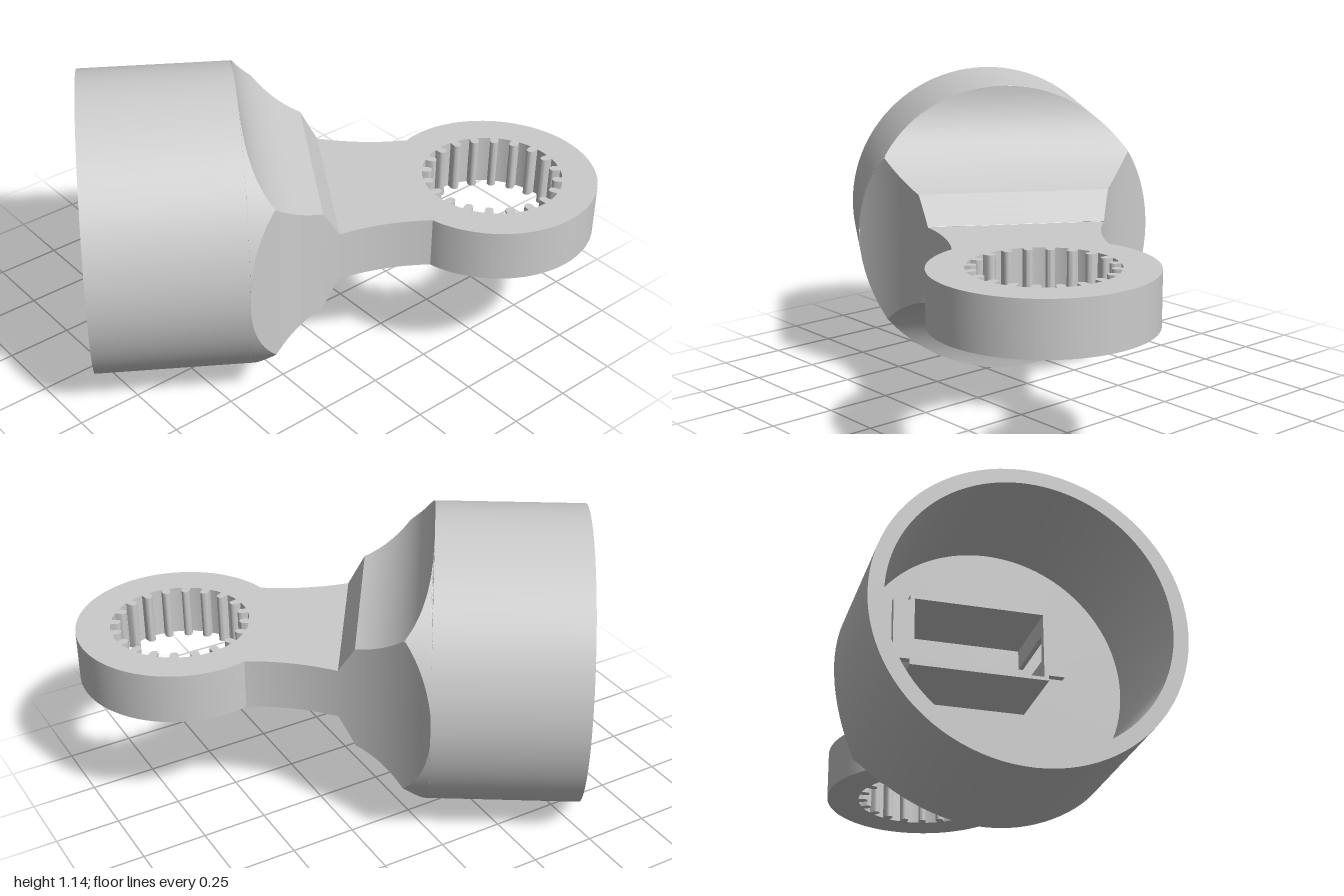
import * as THREE from 'three';
import { toCreasedNormals } from 'three/addons/utils/BufferGeometryUtils.js';

// Working frame: x across, y up, z = -u, where u runs from the cup mouth to the ring.
const R = 0.569, CUP_END = 0.568, NECK_END = 0.909, RING_U = 1.536;
const material = new THREE.MeshStandardMaterial({ color: 0xcccccc });

function addMesh(parent, name, geometry, crease = 0.5) {
  const mesh = new THREE.Mesh(toCreasedNormals(geometry, crease), material);
  mesh.name = name;
  parent.add(mesh);
}

// half width of the neck: concave arc seen from above
const halfWidth = u => Math.min(R, 1.124 - Math.sqrt(0.847 ** 2 - (1.2055 - u) ** 2));

// Cross-section of the neck: a disc trimmed by the side and top cuts
function section(u, H) {
  const W = u <= CUP_END ? R : halfWidth(u);
  const hs = Math.min(H, Math.sqrt(Math.max(0, R * R - W * W)));
  const vt = Math.min(W, Math.sqrt(Math.max(0, R * R - H * H)));
  const a0 = Math.atan2(hs, W), a1 = Math.atan2(H, vt), n = 20;
  const quarter = [];
  for (let i = 0; i <= n; i++) {
    const a = a0 + (a1 - a0) * i / n;
    const r = Math.min(R, W / Math.cos(a), H / Math.max(1e-6, Math.sin(a)));
    quarter.push([r * Math.cos(a), r * Math.sin(a)]);
  }
  const back = [...quarter].reverse();
  return [
    ...quarter,
    ...back.map(([x, y]) => [-x, y]),
    ...quarter.map(([x, y]) => [-x, -y]),
    ...back.map(([x, y]) => [x, -y]),
  ].map(([x, y]) => new THREE.Vector3(x, y, -u));
}

function neckGeometry() {
  const sections = [], n = 40, r = 0.373, cu = CUP_END + r;
  const tEnd = Math.acos((cu - 0.845) / r);
  for (let i = 0; i <= n; i++) {
    const t = tEnd * i / n;
    sections.push(section(cu - r * Math.cos(t), R - r * Math.sin(t)));
  }
  for (let i = 1; i <= 4; i++) {
    const k = i / 4;
    sections.push(section(0.845 + (NECK_END - 0.845) * k, (R - r * Math.sin(tEnd)) * (1 - k) + 0.1 * k));
  }
  const pos = [], cross = new THREE.Vector3(), e = new THREE.Vector3();
  const tri = (a, b, c) => {
    cross.subVectors(b, a).cross(e.subVectors(c, a));
    if (cross.length() > 1e-9) for (const p of [a, b, c]) pos.push(p.x, p.y, p.z);
  };
  for (let s = 0; s < sections.length - 1; s++) {
    const A = sections[s], B = sections[s + 1];
    for (let j = 0; j < A.length; j++) {
      const k = (j + 1) % A.length;
      tri(A[j], B[j], B[k]);
      tri(A[j], B[k], A[k]);
    }
  }
  const g = new THREE.BufferGeometry();
  g.setAttribute('position', new THREE.Float32BufferAttribute(pos, 3));
  return g;
}

// Flat arm ending in a ring with a toothed hole
function armGeometry() {
  const side = [], pts = [], joinU = 1.257;
  for (let i = 0; i <= 16; i++) {
    const u = NECK_END + (joinU - NECK_END) * i / 16;
    side.push([halfWidth(u), u]);
  }
  side.forEach(([v, u]) => pts.push(new THREE.Vector2(v, u)));
  for (let i = 1; i < 72; i++) {
    const a = -Math.PI / 4 + (Math.PI * 1.5) * i / 72;
    pts.push(new THREE.Vector2(0.396 * Math.cos(a), RING_U + 0.396 * Math.sin(a)));
  }
  side.reverse().forEach(([v, u]) => pts.push(new THREE.Vector2(-v, u)));
  const shape = new THREE.Shape(pts);

  const hole = [], teeth = 20, w = 0.016;
  const polar = (a, r, t) => hole.push(new THREE.Vector2(
    r * Math.cos(a) - t * Math.sin(a), RING_U + r * Math.sin(a) + t * Math.cos(a)));
  for (let i = 0; i < teeth; i++) {
    const a = (i + 0.1) / teeth * Math.PI * 2 - 0.6;
    polar(a, 0.264, -w);
    for (let k = 0; k <= 8; k++) {
      const p = Math.PI * k / 8;
      polar(a, 0.243 - w * Math.sin(p), -w * Math.cos(p));
    }
    polar(a, 0.264, w);
    for (let k = 1; k <= 3; k++) polar(a + 0.06 + (Math.PI * 2 / teeth - 0.12) * k / 4, 0.265, 0);
  }
  shape.holes.push(new THREE.Path(hole));
  const g = new THREE.ExtrudeGeometry(shape, { depth: 0.198, bevelEnabled: false });
  return g.translate(0, 0, -0.099).rotateX(-Math.PI / 2);
}

export function createModel() {
  const model = new THREE.Group();
  model.name = 'ringArmCup';
  const body = new THREE.Group();
  body.name = 'body';
  body.position.set(-0.373, R, 0.691);
  body.rotation.y = -Math.atan2(0.54, 0.842);
  model.add(body);

  // open cup
  const profile = [[0, 0.52], [0.513, 0.52], [0.513, 0], [R, 0], [R, CUP_END]]
    .map(p => new THREE.Vector2(...p));
  addMesh(body, 'cup', new THREE.LatheGeometry(profile, 96).rotateX(-Math.PI / 2));
  addMesh(body, 'neck', neckGeometry(), 0.35);
  addMesh(body, 'ringArm', armGeometry());

  // rectangular socket standing on the cup floor
  const socket = new THREE.Group();
  socket.name = 'socket';
  body.add(socket);
  const box = (name, v0, v1, h0, h1, u0 = 0.224, u1 = 0.525) => addMesh(socket, name,
    new THREE.BoxGeometry(v1 - v0, h1 - h0, u1 - u0)
      .translate((v0 + v1) / 2, (h0 + h1) / 2, -(u0 + u1) / 2));
  box('socketTopWall', -0.37, 0.132, 0.122, 0.135);
  box('socketBottomWall', -0.37, 0.132, -0.135, -0.122);
  box('socketEndWall', -0.37, -0.354, -0.122, 0.122);
  // slotted end wall
  box('slottedWallUpper', 0.115, 0.132, 0.048, 0.122);
  box('slottedWallLower', 0.115, 0.132, -0.122, -0.048);
  // thin mounting ears at the mouth of the socket
  box('earLong', -0.43, -0.37, -0.115, 0.115, 0.224, 0.25);
  box('earShort', 0.115, 0.19, -0.115, 0.115, 0.224, 0.25);
  return model;
}
